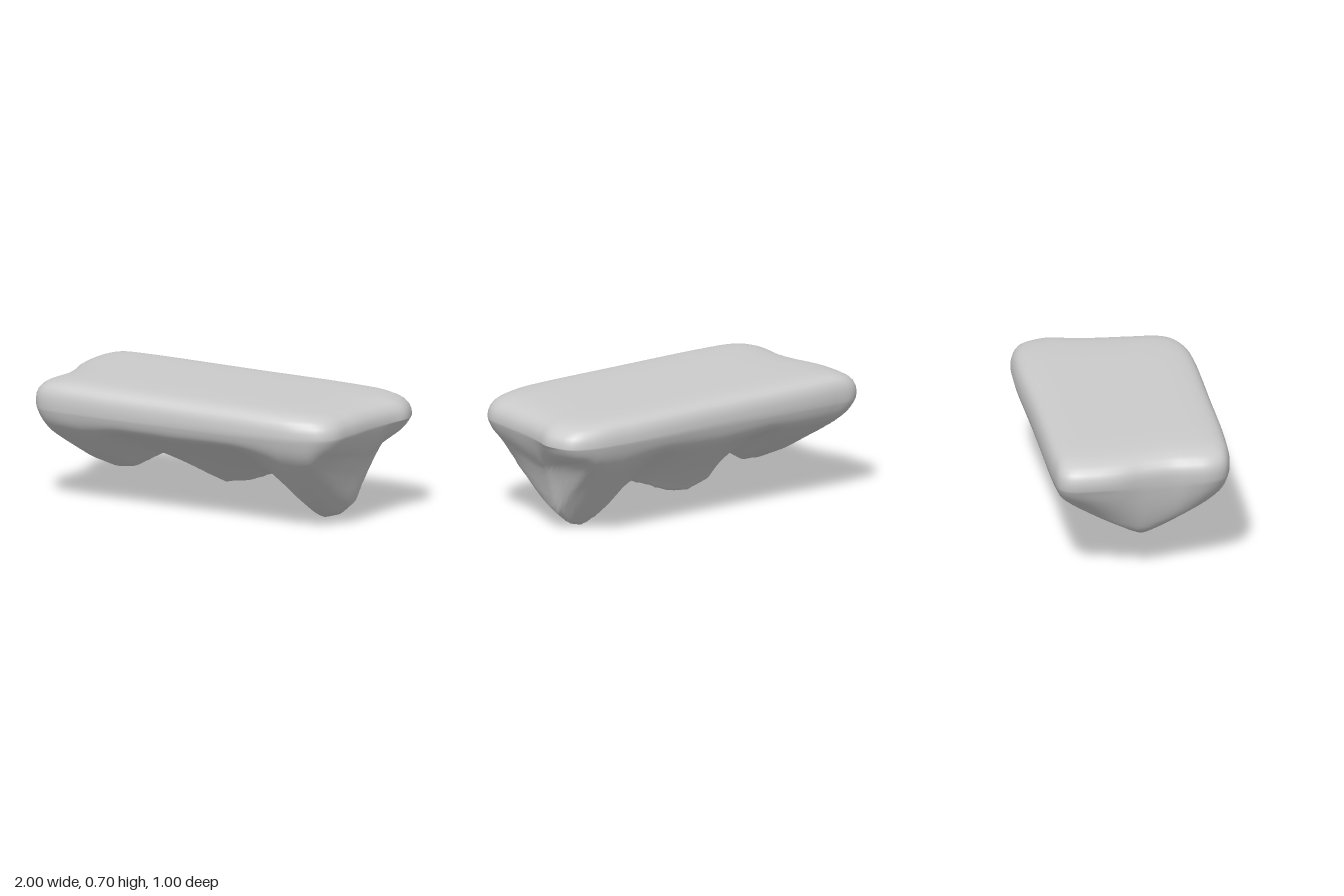
import * as THREE from 'three';
import { mergeVertices } from 'three/addons/utils/BufferGeometryUtils.js';

// Plan of the slab, clockwise from the back right corner: [x, z]
const OUTLINE = [
  [-0.985, -0.42], [-0.94, -0.47], [-0.8, -0.488], [0, -0.493], [0.6, -0.5], [0.83, -0.48],
  [0.94, -0.43], [0.98, -0.36], [1, -0.28], [0.975, -0.17], [0.95, -0.02], [0.935, 0.2],
  [0.92, 0.35], [0.87, 0.42], [0.75, 0.47], [0.6, 0.49], [0, 0.495], [-0.6, 0.493],
  [-0.82, 0.475], [-0.9, 0.44], [-0.94, 0.36], [-0.94, 0.25], [-0.93, 0.15], [-0.95, 0],
  [-0.99, -0.15], [-1, -0.28],
];
// Lowest height of the underside along the length: [x, y]
const KEEL = [
  [-1, 0.5], [-0.97, 0.41], [-0.86, 0.23], [-0.75, 0.18], [-0.63, 0.157], [-0.53, 0.165],
  [-0.38, 0.25], [-0.2, 0.15], [-0.05, 0.1], [0.1, 0.13], [0.32, 0.21], [0.37, 0.18],
  [0.45, 0.1], [0.53, 0.04], [0.61, 0], [0.7, 0.025], [0.79, 0.1], [0.82, 0.22],
  [0.86, 0.34], [0.95, 0.44], [1, 0.53],
];
// Where the keel runs across the depth: [x, z]
const KEEL_Z = [[-1, -0.03], [-0.6, 0.02], [-0.42, -0.03], [-0.2, -0.14], [0.15, -0.16], [0.4, -0.12], [0.6, -0.08], [1, -0.1]];
// Fullness of the flanks: above 1 they bulge outward, below 1 they are hollow
const FRONT_FULLNESS = [[-1, 1.35], [-0.6, 1.35], [-0.35, 1.1], [-0.2, 0.95], [0.2, 0.95], [0.42, 1.2], [0.6, 1.45], [0.75, 1.4], [0.88, 1.1], [1, 1]];
const BACK_FULLNESS = [[-1, 1.25], [-0.6, 1.25], [-0.35, 0.95], [-0.2, 0.85], [0.2, 0.85], [0.42, 0.95], [0.6, 1.1], [0.72, 1], [0.85, 0.7], [1, 0.65]];
// Upper edge: [scale of the plan, height]
const TOP = [
  [0, 0.69], [0.3, 0.69], [0.6, 0.689], [0.75, 0.686], [0.84, 0.68], [0.9, 0.671],
  [0.94, 0.657], [0.965, 0.642], [0.985, 0.62], [0.996, 0.595], [1, 0.565],
];
const SEGMENTS = 200;
const UNDER_RINGS = 48;
const RIM_Y = 0.55;
const FLANK_Y = 0.475;

// Linear lookup in a list of [position, value]
function sample(table, x) {
  for (let i = 1; i < table.length; i++) {
    const [x0, v0] = table[i - 1], [x1, v1] = table[i];
    if (x <= x1) return THREE.MathUtils.lerp(v0, v1, THREE.MathUtils.clamp((x - x0) / (x1 - x0), 0, 1));
  }
  return table[table.length - 1][1];
}

function undersideHeight(x, z, s) {
  const keel = sample(KEEL, x);
  const centre = sample(KEEL_Z, x);
  const front = z > centre;
  const reach = front ? 0.49 - centre : 0.495 + centre;
  const t = Math.min(1, Math.abs(z - centre) / reach);
  const flank = Math.max(FLANK_Y, keel);
  const y = keel + (flank - keel) * Math.pow(t, sample(front ? FRONT_FULLNESS : BACK_FULLNESS, x));
  // Round the flanks into the rim
  return THREE.MathUtils.lerp(y, RIM_Y, Math.pow(s, 32));
}

// Closed skin: rings grow over the top, pass the rim and shrink under the belly
function rockGeometry() {
  const curve = new THREE.CatmullRomCurve3(OUTLINE.map(([x, z]) => new THREE.Vector3(x, 0, z)), true, 'centripetal');
  const plan = curve.getSpacedPoints(SEGMENTS).slice(0, SEGMENTS);
  const positions = [], indices = [];

  for (const [s, y] of TOP) {
    for (const p of plan) positions.push(p.x * s, y - 0.013 * p.x * s + 0.008 * p.z * s, p.z * s);
  }
  for (let i = 0; i <= UNDER_RINGS; i++) {
    // Rings crowd towards the rim
    const s = 0.997 * (1 - Math.pow(i / UNDER_RINGS, 1.3));
    for (const p of plan) {
      positions.push(p.x * s, undersideHeight(p.x * s, p.z * s, s), p.z * s);
    }
  }

  const rings = TOP.length + UNDER_RINGS + 1;
  for (let i = 0; i < rings - 1; i++) {
    for (let j = 0; j < SEGMENTS; j++) {
      const k = (j + 1) % SEGMENTS;
      const a = i * SEGMENTS + j, b = a + SEGMENTS;
      const d = i * SEGMENTS + k, c = d + SEGMENTS;
      if (i < rings - 2) indices.push(a, c, b);
      if (i > 0) indices.push(a, d, c);
    }
  }
  const geometry = new THREE.BufferGeometry();
  geometry.setAttribute('position', new THREE.Float32BufferAttribute(positions, 3));
  geometry.setIndex(indices);
  const merged = mergeVertices(geometry, 1e-4);
  merged.computeVertexNormals();
  return merged;
}

export function createModel() {
  const group = new THREE.Group();
  group.name = 'floatingRockPlatform';
  const rock = new THREE.Mesh(rockGeometry(), new THREE.MeshStandardMaterial({ color: 0xcccccc }));
  rock.name = 'rockSlab';
  group.add(rock);
  return group;
}
